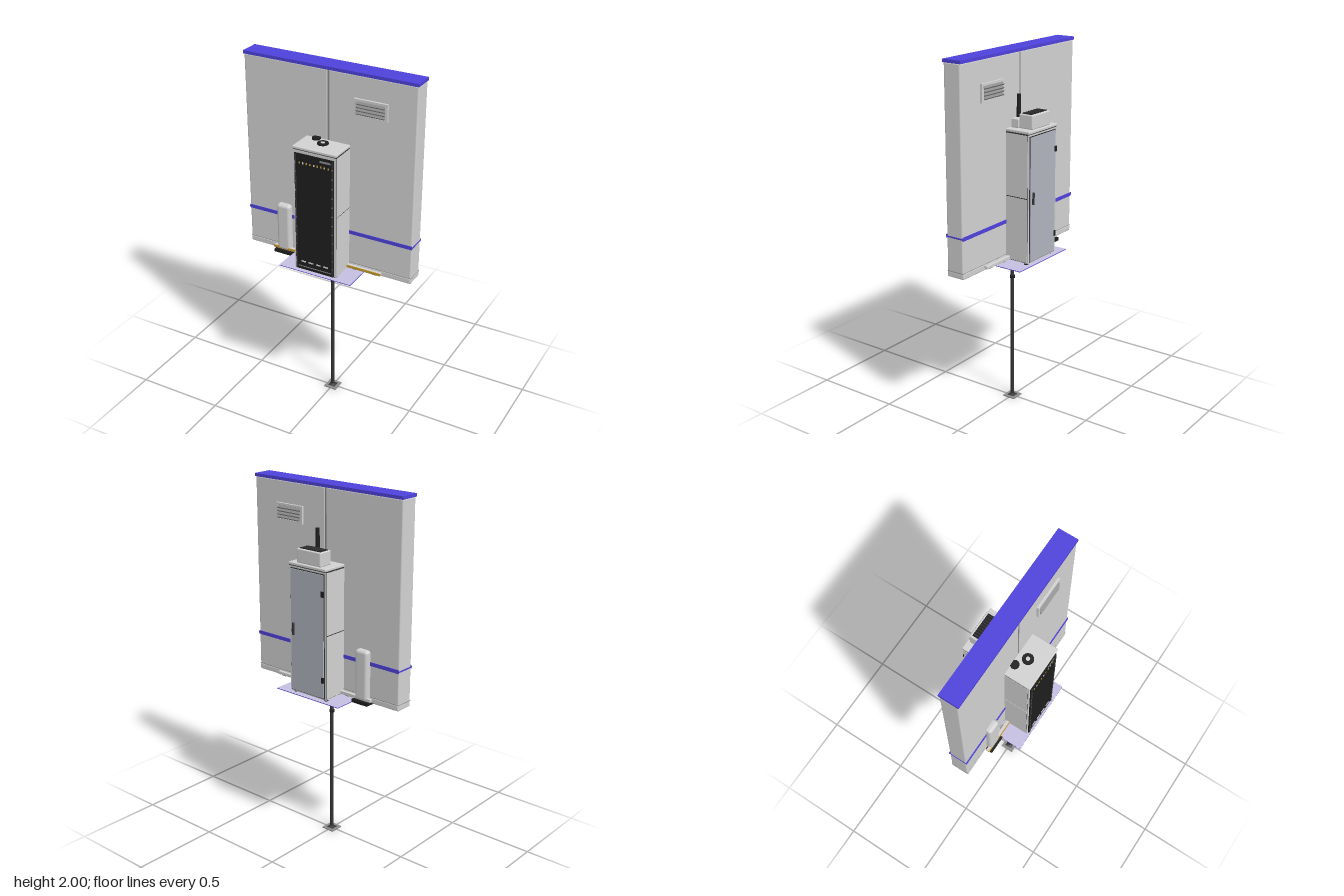
import * as THREE from 'three';
import { RoundedBoxGeometry } from 'three/addons/geometries/RoundedBoxGeometry.js';

const material = (name, color) => {
  const m = new THREE.MeshStandardMaterial({ color });
  m.name = name;
  return m;
};

export function createModel() {
  const root = new THREE.Group();
  root.name = 'cabinetAndWallOnPole';
  const shell = material('light grey shell', 0xd2d2d2);
  const blue = material('blue trim', 0x4f42dc);
  const black = material('black', 0x1e1e1e);
  const dark = material('dark metal', 0x353535);
  const grey = material('mid grey', 0x8c8c8c);
  const steel = material('blue grey door', 0xb0b4bf);
  const gold = material('gold', 0xc79a2a);
  const pale = material('pale lavender', 0xc6c0e2);

  // Helpers take a min and max for each axis
  const add = (name, geometry, mat, x, y, z, parent = root) => {
    const mesh = new THREE.Mesh(geometry, mat);
    mesh.name = name;
    mesh.position.set(x, y, z);
    parent.add(mesh);
    return mesh;
  };
  const box = (name, mat, x0, x1, y0, y1, z0, z1, round = 0, parent = root) => {
    const s = [x1 - x0, y1 - y0, z1 - z0];
    const g = round ? new RoundedBoxGeometry(...s, 3, round) : new THREE.BoxGeometry(...s);
    return add(name, g, mat, (x0 + x1) / 2, (y0 + y1) / 2, (z0 + z1) / 2, parent);
  };
  const rod = (name, mat, r, x, y0, y1, z, sides = 24, parent = root, rTop = r) =>
    add(name, new THREE.CylinderGeometry(rTop, r, y1 - y0, sides), mat, x, (y0 + y1) / 2, z, parent);

  // Wall: two panels with a seam, skirting, blue cap and stripe
  const wall = new THREE.Group();
  wall.name = 'wall';
  root.add(wall);
  for (const s of [-1, 1]) {
    box('wallPanel', shell, s > 0 ? 0.003 : -0.495, s > 0 ? 0.495 : -0.003, 0.905, 1.985, -0.051, 0.051, 0.008, wall);
  }
  box('wallSeam', grey, -0.004, 0.004, 0.91, 1.985, -0.049, 0.049, 0, wall);
  box('skirting', shell, -0.495, 0.495, 0.88, 0.915, -0.053, 0.053, 0.008, wall);
  box('skirtingJoint', grey, -0.4955, 0.4955, 0.912, 0.915, -0.0515, 0.0515, 0, wall);
  box('wallCap', blue, -0.497, 0.497, 1.983, 2.0, -0.055, 0.055, 0, wall);
  for (const z of [-0.053, 0.053]) {
    box('wallStripe', blue, -0.495, 0.495, 1.09, 1.11, z - 0.002, z + 0.002, 0, wall);
  }
  for (const x of [-0.496, 0.496]) {
    box('endStripe', blue, x - 0.001, x + 0.001, 1.096, 1.104, -0.055, 0.055, 0, wall);
  }

  // Louvred vent on each face of the wall
  for (const s of [-1, 1]) {
    const vent = new THREE.Group();
    vent.name = 'vent';
    vent.position.set(0.245, 1.817, s * 0.051);
    root.add(vent);
    box('ventBack', dark, -0.085, 0.085, -0.04, 0.04, -0.003, 0.003, 0, vent);
    for (const t of [-1, 1]) {
      box('ventFrame', shell, -0.094, 0.094, t * 0.042 - 0.006, t * 0.042 + 0.006, -0.012, 0.012, 0, vent);
      box('ventFrame', shell, t * 0.087 - 0.007, t * 0.087 + 0.007, -0.048, 0.048, -0.012, 0.012, 0, vent);
    }
    for (let i = 0; i < 4; i++) {
      const slat = box('ventSlat', grey, -0.08, 0.08, -0.004, 0.004, -0.008, 0.008, 0, vent);
      slat.position.set(0, -0.026 + i * 0.0175, s * 0.011);
      slat.rotation.x = s * 0.6;
    }
  }

  // Cabinet body with two panels on each side
  const cabinet = new THREE.Group();
  cabinet.name = 'cabinet';
  root.add(cabinet);
  box('cabinetBody', shell, -0.125, 0.125, 0.887, 1.588, -0.193, 0.193, 0, cabinet);
  box('cabinetRoof', shell, -0.128, 0.128, 1.588, 1.603, -0.199, 0.199, 0.004, cabinet);
  box('roofJoint', dark, -0.1256, 0.1256, 1.584, 1.588, -0.1936, 0.1936, 0, cabinet);
  for (const x of [-0.126, 0.126]) {
    box('sideJoint', dark, x - 0.0005, x + 0.0005, 0.892, 1.584, -0.188, 0.188, 0, cabinet);
    box('lowerSidePanel', shell, x - 0.002, x + 0.002, 0.894, 1.242, -0.187, 0.187, 0, cabinet);
    box('upperSidePanel', shell, x - 0.002, x + 0.002, 1.247, 1.582, -0.187, 0.187, 0, cabinet);
    for (const z of [-0.17, 0.17]) rod('foot', black, 0.012, x * 0.85, 0.876, 0.888, z, 16, cabinet);
  }

  // Front door with handle strips, indicator row and drawer pulls
  box('frontDoor', black, -0.115, 0.112, 0.888, 1.568, 0.19, 0.199, 0, cabinet);
  for (const x of [-0.109, 0.107]) {
    box('doorRail', dark, x - 0.004, x + 0.004, 0.892, 1.562, 0.198, 0.202, 0, cabinet);
    for (let i = 0; i < 12; i++) {
      box('railSlot', grey, x - 0.0015, x + 0.0015, 0.93 + i * 0.053, 0.938 + i * 0.053, 0.2, 0.203, 0, cabinet);
    }
  }
  for (let i = 0; i < 9; i++) {
    const x = -0.085 + i * 0.021;
    box('indicator', i % 3 === 1 ? shell : gold, x - 0.004, x + 0.004, 1.513, 1.524, 0.198, 0.201, 0, cabinet);
  }
  box('doorPlate', grey, 0.035, 0.095, 1.544, 1.554, 0.198, 0.201, 0, cabinet);
  for (let i = 0; i < 4; i++) {
    const x = -0.068 + i * 0.045;
    box('drawerPull', shell, x - 0.014, x + 0.014, 0.934, 0.941, 0.198, 0.202, 0, cabinet);
  }
  box('doorBottomTrim', grey, -0.1, 0.1, 0.905, 0.909, 0.198, 0.201, 0, cabinet);

  // Back door with handle and hinges
  box('backDoorGap', dark, -0.117, 0.117, 0.893, 1.575, -0.195, -0.19, 0, cabinet);
  box('backDoor', steel, -0.112, 0.112, 0.898, 1.57, -0.2, -0.19, 0, cabinet);
  box('backHandle', dark, 0.087, 0.1, 1.21, 1.278, -0.209, -0.198, 0.004, cabinet);
  for (const y of [1.0, 1.47]) box('hinge', black, -0.116, -0.102, y - 0.015, y + 0.015, -0.206, -0.195, 0, cabinet);

  // Equipment on the cabinet roof
  rod('roofFan', black, 0.03, 0, 1.602, 1.61, 0.105);
  rod('roofFanHub', shell, 0.011, 0, 1.608, 1.612, 0.105);
  rod('roofPort', black, 0.023, -0.06, 1.602, 1.613, 0.067);
  rod('rearPort', black, 0.016, -0.015, 1.602, 1.608, -0.09);
  box('roofUnit', shell, -0.081, 0.081, 1.602, 1.678, -0.185, -0.1, 0.006);
  box('roofUnitGrille', black, -0.07, 0.07, 1.676, 1.681, -0.172, -0.112);
  for (let i = 0; i < 9; i++) {
    const x = -0.06 + i * 0.015;
    box('grilleBar', dark, x - 0.002, x + 0.002, 1.68, 1.683, -0.17, -0.114);
  }
  box('antennaBase', shell, -0.01, 0.088, 1.602, 1.65, -0.102, -0.056, 0.004);
  rod('antenna', black, 0.011, 0.038, 1.64, 1.77, -0.069);

  // Rounded pillar straddling the wall, on a dark base
  box('pillar', shell, -0.308, -0.225, 0.89, 1.172, -0.083, 0.083, 0.018);
  box('pillarBase', black, -0.32, -0.215, 0.874, 0.892, -0.092, 0.092);

  // Rails along both wall faces, gold on the front one
  for (const s of [-1, 1]) {
    box('wallRail', shell, -0.33, 0.33, 0.893, 0.912, s * 0.07 - 0.009, s * 0.07 + 0.009, 0.003);
    for (const x of [-0.17, 0.17, 0.29]) {
      box('railBracket', grey, x - 0.012, x + 0.012, 0.889, 0.904, s * 0.06 - 0.014, s * 0.06 + 0.014);
    }
  }
  box('goldRailStrip', gold, -0.33, 0.33, 0.898, 0.911, 0.077, 0.082);

  // Floor plate: pale on top, blue on the edges and below
  add('floorPlate', new THREE.BoxGeometry(0.436, 0.004, 0.416),
    [blue, blue, pale, blue, blue, blue], 0, 0.875, 0);

  // Support pole with crossed arms, collar and flared square base
  box('crossArm', black, -0.105, 0.105, 0.85, 0.873, -0.013, 0.013);
  box('crossArm', black, -0.013, 0.013, 0.852, 0.873, -0.092, 0.092);
  rod('pole', dark, 0.01, 0, 0.01, 0.865, 0);
  rod('poleCollar', black, 0.014, 0, 0.728, 0.742, 0);
  rod('poleHead', black, 0.018, 0, 0.835, 0.855, 0);
  box('basePlate', grey, -0.038, 0.038, 0, 0.006, -0.038, 0.038);
  const flare = rod('baseFlare', dark, 0.03, 0, 0.006, 0.016, 0, 4, root, 0.012);
  flare.geometry.rotateY(Math.PI / 4);
  flare.material = dark;
  return root;
}
